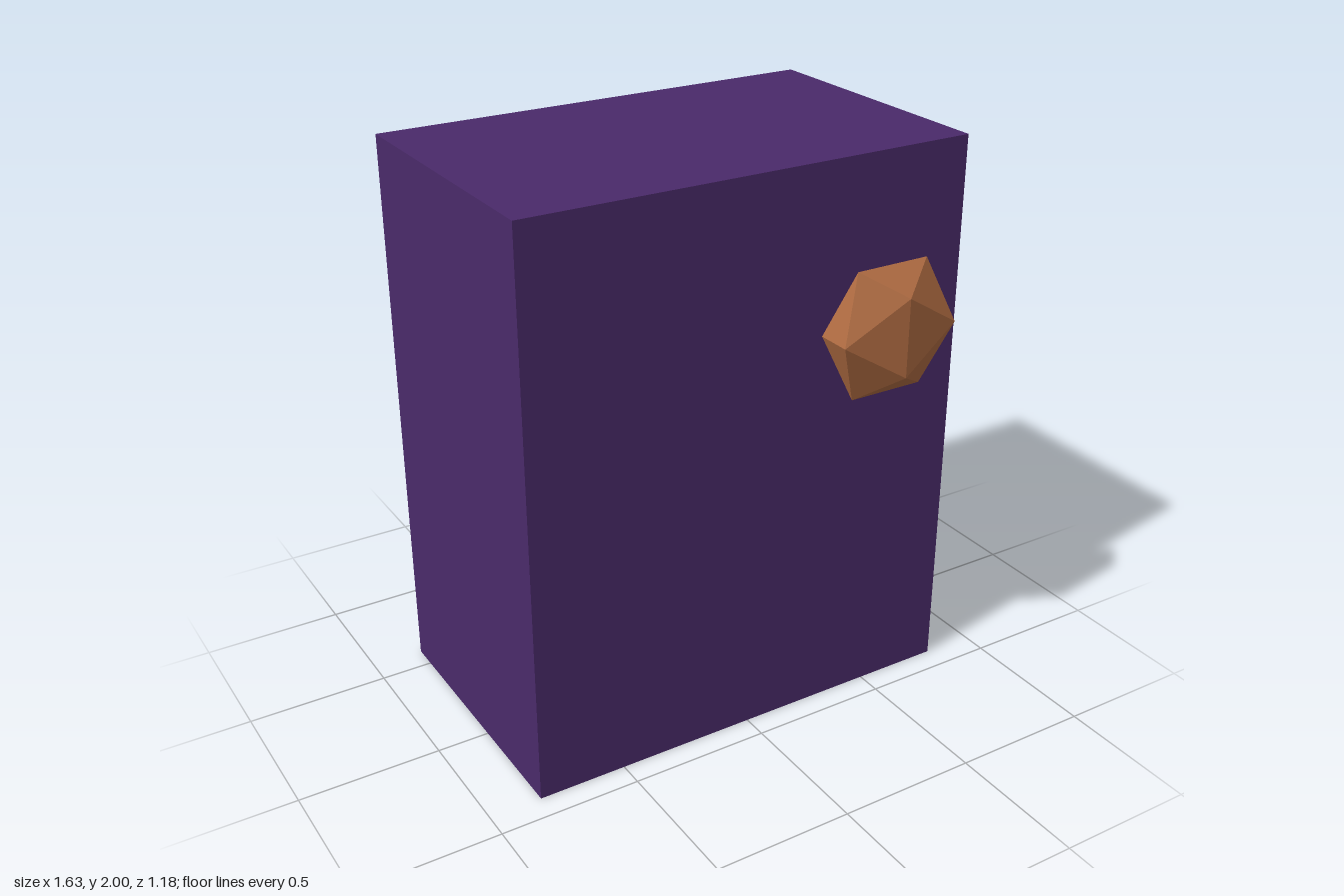
import * as THREE from 'three';

export function createModel() {
  const model = new THREE.Group();

  function addPart(name, geometry, color, x, y, z) {
    const material = new THREE.MeshStandardMaterial({ color, flatShading: true });
    const mesh = new THREE.Mesh(geometry, material);
    mesh.name = name;
    mesh.position.set(x, y, z);
    model.add(mesh);
    return mesh;
  }

  // Plain upright block
  addPart('body', new THREE.BoxGeometry(1.63, 2, 1), 0x4a2a6a, 0, 1, -0.09);

  // Faceted knob, flattened front to back and set partly into the front face
  const knob = addPart('knob', new THREE.IcosahedronGeometry(0.262, 0), 0xb06c42, 0.47, 1.424, 0.49);
  knob.scale.z = 0.45;

  return model;
}
